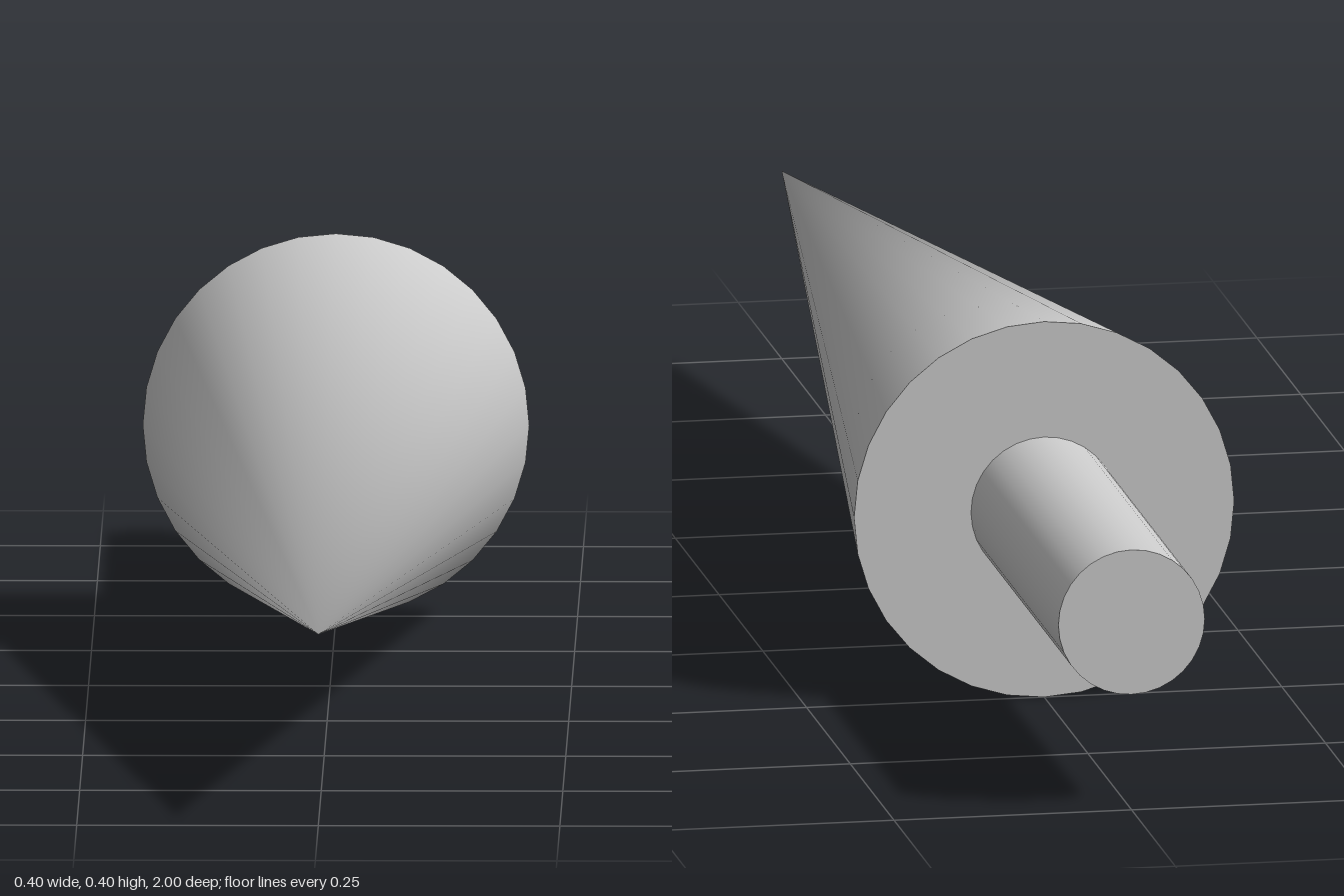
import * as THREE from 'three';

const SIDES = 32;
const AXIS_Y = 0.2;

export function createModel() {
  const group = new THREE.Group();
  const material = new THREE.MeshStandardMaterial({ color: 0xcccccc });

  // Lay a y-aligned solid along z and place its middle on the axis
  const addPart = (name, geometry, z) => {
    geometry.rotateX(Math.PI / 2);
    const mesh = new THREE.Mesh(geometry, material);
    mesh.name = name;
    mesh.position.set(0, AXIS_Y, z);
    group.add(mesh);
  };

  // Pointed head, closed at the back; its tip shares one smooth normal along the axis
  const head = new THREE.ConeGeometry(0.2, 1.5, SIDES);
  for (let i = 0; i <= SIDES; i++) head.attributes.normal.setXYZ(i, 0, 1, 0);
  addPart('coneHead', head, 0.25);

  // Round shaft behind the head
  addPart('shaft', new THREE.CylinderGeometry(0.077, 0.077, 0.5, SIDES), -0.75);

  return group;
}
